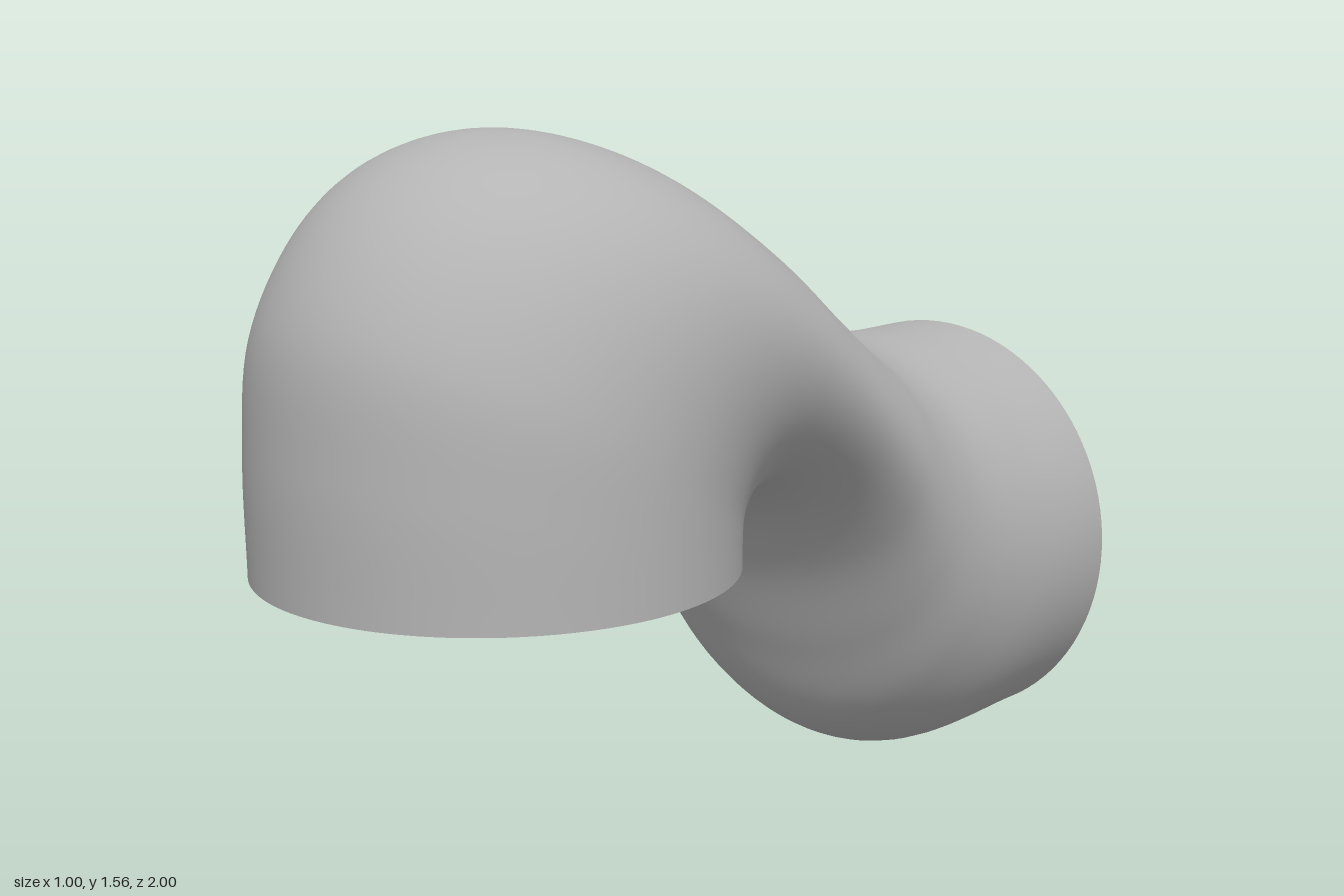
import * as THREE from 'three';

// Side profiles as [z, y]; matching rows are opposite ends of one cross-section.
const OUTER = [[1, 0.675], [1, 0.95], [0.97, 1.2], [0.85, 1.4], [0.7, 1.51], [0.5, 1.555], [0.3, 1.52],
  [0.1, 1.41], [-0.1, 1.26], [-0.3, 1.13], [-0.45, 1.06], [-0.6, 1.02], [-0.8, 1.005], [-1, 1.005]];
const INNER = [[0, 0.675], [0, 0.685], [0, 0.695], [-0.005, 0.71], [-0.01, 0.718], [-0.025, 0.73], [-0.05, 0.735],
  [-0.1, 0.72], [-0.18, 0.66], [-0.27, 0.52], [-0.35, 0.31], [-0.44, 0.125], [-0.6, 0.015], [-1, 0.005]];
const RADIUS = 0.5;

const profile = (points) => new THREE.CatmullRomCurve3(points.map(([z, y]) => new THREE.Vector3(0, y, z)));

// Lofts elliptical sections of constant width between the two profiles
function loftGeometry(steps, sides) {
  const outer = profile(OUTER);
  const inner = profile(INNER);
  const positions = [];
  const index = [];
  for (let i = 0; i <= steps; i++) {
    const a = outer.getPoint(i / steps);
    const b = inner.getPoint(i / steps);
    const mid = a.clone().add(b).multiplyScalar(0.5);
    const half = a.clone().sub(mid);
    for (let j = 0; j < sides; j++) {
      const angle = (j / sides) * Math.PI * 2;
      const c = Math.cos(angle);
      positions.push(RADIUS * Math.sin(angle), mid.y + half.y * c, mid.z + half.z * c);
      if (i < steps) {
        const k = (j + 1) % sides;
        const p = i * sides;
        const q = p + sides;
        index.push(p + j, p + k, q + j, p + k, q + k, q + j);
      }
    }
  }
  const geometry = new THREE.BufferGeometry();
  geometry.setAttribute('position', new THREE.Float32BufferAttribute(positions, 3));
  geometry.setIndex(index);
  geometry.computeVertexNormals();
  return geometry;
}

export function createModel() {
  const group = new THREE.Group();
  group.name = 'pipeBend';
  const grey = new THREE.MeshStandardMaterial({ color: 0xb4b4b4, side: THREE.DoubleSide });
  grey.name = 'plain grey';

  const add = (name, geometry) => {
    const mesh = new THREE.Mesh(geometry, grey);
    mesh.name = name;
    group.add(mesh);
    return mesh;
  };

  // Curved body
  add('bentBody', loftGeometry(104, 96));

  // Flat ends: one faces down, the other faces back
  const lowerEnd = add('lowerEnd', new THREE.CircleGeometry(RADIUS, 96));
  lowerEnd.rotation.x = Math.PI / 2;
  lowerEnd.position.set(0, 0.675, 0.5);
  const backEnd = add('backEnd', new THREE.CircleGeometry(RADIUS, 96));
  backEnd.rotation.y = Math.PI;
  backEnd.position.set(0, 0.505, -1);

  return group;
}
